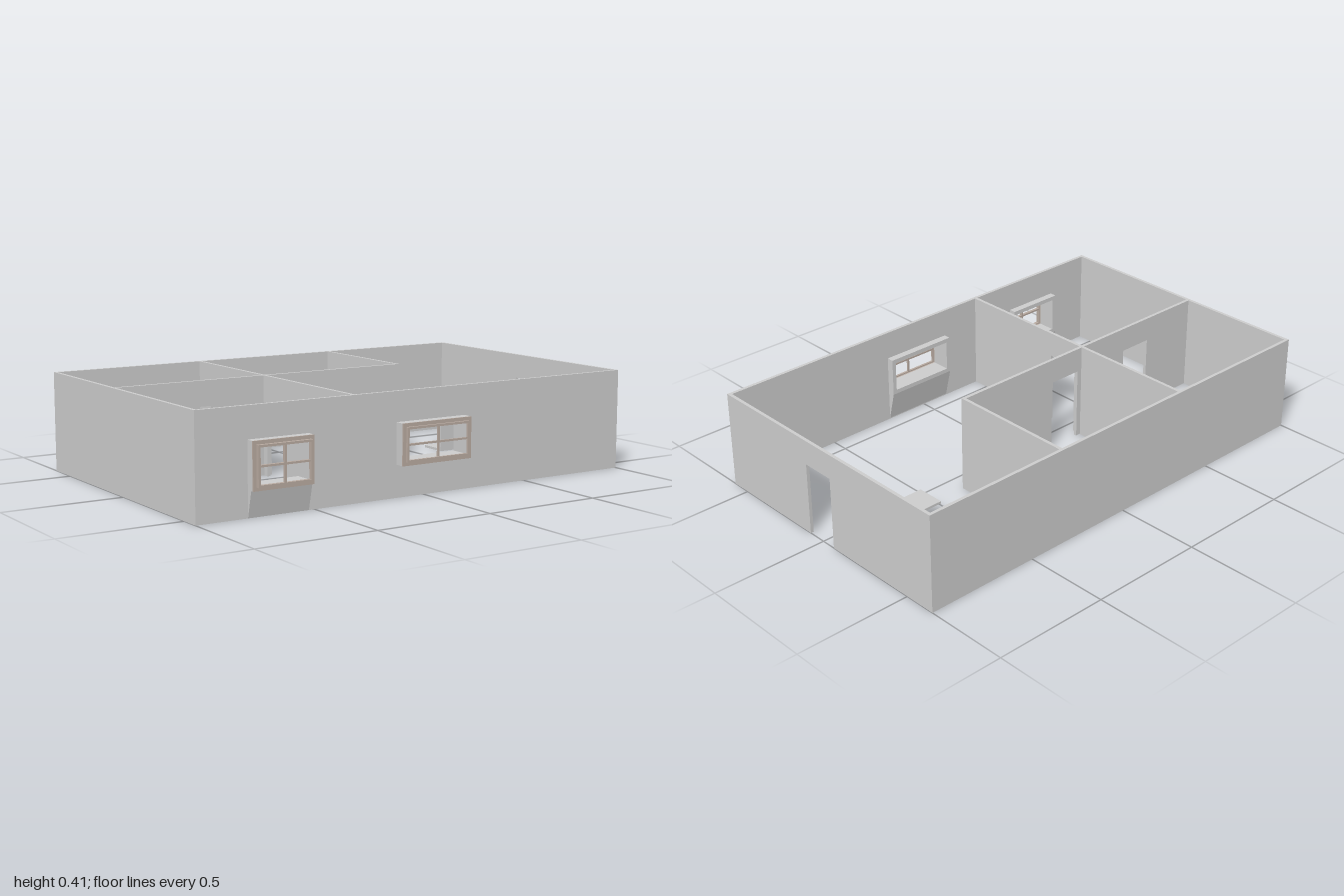
import * as THREE from 'three';

const H = 0.415, T = 0.014, DOOR = 0.31;
const grey = new THREE.MeshStandardMaterial({ color: 0xcccccc });
const tan = new THREE.MeshStandardMaterial({ color: 0xb8aaa0 });

// Wall elevation from a to b, with door notches [from, to] and window holes [x0, x1, y0, y1]
function wallGeometry(a, b, doors = [], windows = []) {
  const s = new THREE.Shape();
  s.moveTo(a, 0);
  for (const [d0, d1] of doors) {
    s.lineTo(d0, 0);
    s.lineTo(d0, DOOR);
    s.lineTo(d1, DOOR);
    s.lineTo(d1, 0);
  }
  s.lineTo(b, 0);
  s.lineTo(b, H);
  s.lineTo(a, H);
  s.closePath();
  for (const w of windows) s.holes.push(rect(new THREE.Path(), ...w));
  return new THREE.ExtrudeGeometry(s, { depth: T, bevelEnabled: false });
}

function rect(path, x0, x1, y0, y1) {
  path.moveTo(x0, y0);
  path.lineTo(x1, y0);
  path.lineTo(x1, y1);
  path.lineTo(x0, y1);
  path.closePath();
  return path;
}

function add(parent, name, geometry, material = grey) {
  const m = new THREE.Mesh(geometry, material);
  m.name = name;
  parent.add(m);
  return m;
}

function box(parent, name, x0, x1, y0, y1, z0, z1, material) {
  const m = add(parent, name, new THREE.BoxGeometry(x1 - x0, y1 - y0, z1 - z0), material);
  m.position.set((x0 + x1) / 2, (y0 + y1) / 2, (z0 + z1) / 2);
}

// Rectangular ring with bar width w, running from z0 to z1
function ring(parent, name, [x0, x1, y0, y1], w, z0, z1, material) {
  const s = rect(new THREE.Shape(), x0, x1, y0, y1);
  s.holes.push(rect(new THREE.Path(), x0 + w, x1 - w, y0 + w, y1 - w));
  const g = new THREE.ExtrudeGeometry(s, { depth: z1 - z0, bevelEnabled: false });
  add(parent, name, g, material).position.z = z0;
}

// Box window with trim, sash, glazing bars and a tapering apron under the sill
function boxWindow(name, rectangle, zFront, apronOut) {
  const g = new THREE.Group();
  g.name = name;
  const [x0, x1, y0, y1] = rectangle;
  ring(g, 'windowBox', rectangle, 0.018, 0.54, zFront - 0.006, grey);
  ring(g, 'windowTrim', rectangle, 0.018, zFront - 0.006, zFront, tan);
  const i = 0.014, b = 0.004, cx = (x0 + x1) / 2, cy = (y0 + y1) / 2;
  ring(g, 'sash', [x0 + i, x1 - i, y0 + i, y1 - i], 0.009, zFront, 0.64, tan);
  box(g, 'verticalBar', cx - b, cx + b, y0 + i, y1 - i, zFront, 0.638, tan);
  box(g, 'horizontalBar', x0 + i, x1 - i, cy - b, cy + b, zFront, 0.638, tan);

  // Apron profile in z and y, extruded along x
  const s = new THREE.Shape();
  s.moveTo(0.572, 0);
  s.lineTo(0.585, 0);
  s.lineTo(apronOut, y0);
  s.lineTo(0.54, y0);
  s.closePath();
  const apron = new THREE.ExtrudeGeometry(s, { depth: x1 - x0, bevelEnabled: false });
  apron.rotateY(-Math.PI / 2);
  add(g, 'apron', apron).position.x = x1;
  return g;
}

export function createModel() {
  const house = new THREE.Group();
  house.name = 'house';
  const leftWin = [-0.785, -0.525, 0.105, 0.29];
  const rightWin = [-0.13, 0.195, 0.13, 0.295];

  // Walls running along x: name, z of rear face, extents, doors, windows
  const alongX = [
    ['frontWall', 0.571, -1, 1, [], [leftWin, rightWin]],
    ['backWall', -0.64, -1, 1],
    ['middleWall', -0.092, -1, 0.35, [[-0.72, -0.57], [-0.29, -0.14]]],
  ];
  for (const [name, z, ...args] of alongX) add(house, name, wallGeometry(...args)).position.z = z;

  // Walls running along z: name, x of +x face, extents, doors
  const alongZ = [
    ['sideWallLeft', 1, -0.626, 0.571, [[-0.065, 0.08]]],
    ['sideWallRight', -1 + T, -0.626, 0.571],
    ['crossWall', -0.312, -0.626, 0.571, [[-0.052, 0.09]]],
    ['roomWall', 0.35, -0.626, -0.092],
  ];
  for (const [name, x, ...args] of alongZ) {
    add(house, name, wallGeometry(...args).rotateY(-Math.PI / 2)).position.x = x;
  }

  house.add(boxWindow('frontWindowRight', leftWin, 0.625, 0.61));
  house.add(boxWindow('frontWindowCentre', rightWin, 0.63, 0.584));

  // Low open cabinet against the side wall
  const cabinet = new THREE.Group();
  cabinet.name = 'cabinet';
  box(cabinet, 'cabinetTop', 0.615, 0.985, 0.12, 0.13, -0.25, -0.13);
  box(cabinet, 'cabinetBase', 0.615, 0.985, 0, 0.01, -0.25, -0.13);
  box(cabinet, 'cabinetPanel', 0.615, 0.985, 0.01, 0.12, -0.14, -0.13);
  house.add(cabinet);

  return house;
}
